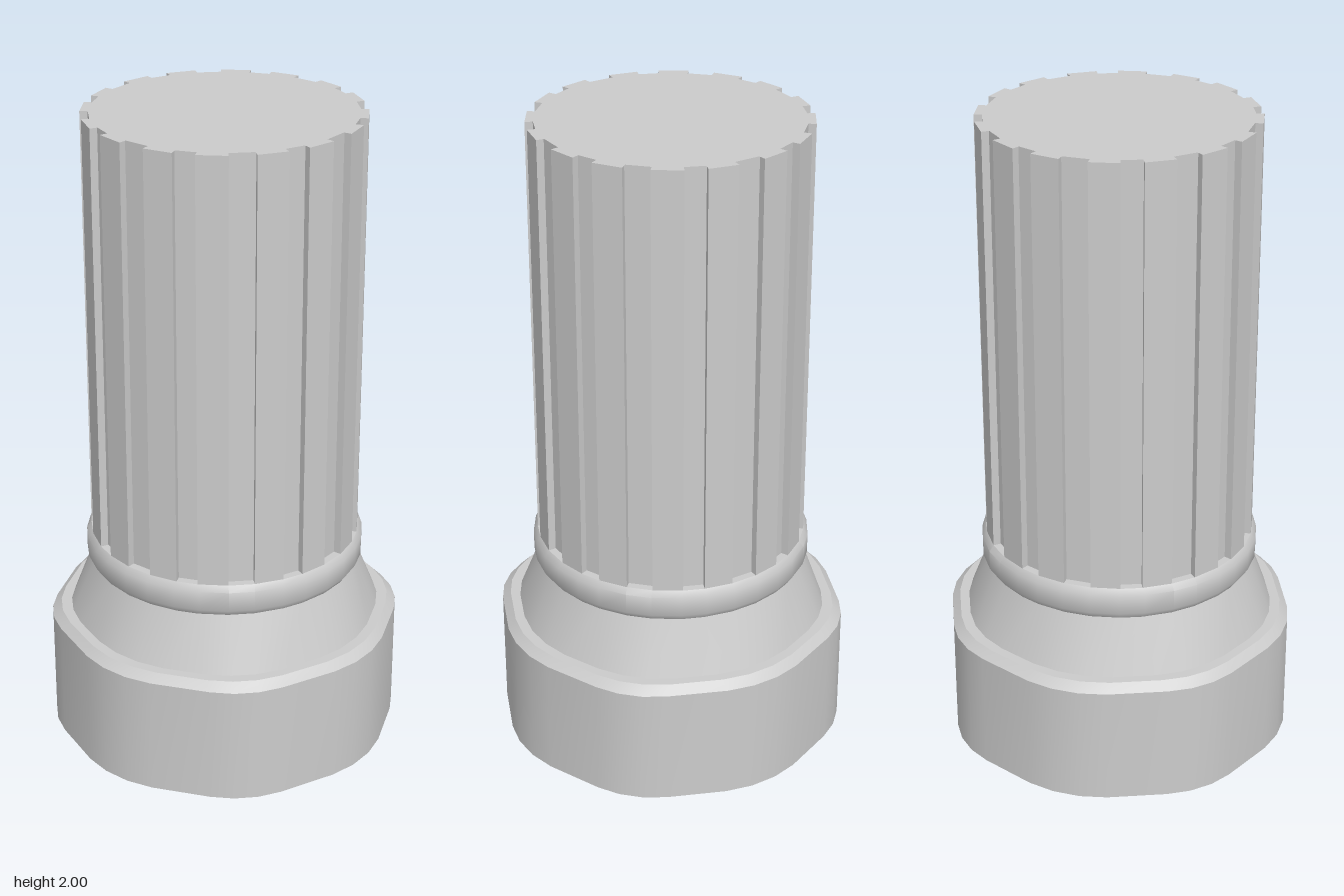
import * as THREE from 'three';
import { toCreasedNormals } from 'three/addons/utils/BufferGeometryUtils.js';

// One quarter of each outline, as pairs of corners per flute: angle in degrees, radius
const SHAFT_ANGLES = [-5.75, 5.75, 18, 27, 39.6, 50.4, 63, 72];
const BASE_ANGLES = [-4.5, 4.5, 13.5, 33.3, 41.1, 48.9, 56.7, 76.5];
const BASE_RADII = [0.543, 0.543, 0.537, 0.539, 0.547, 0.547, 0.539, 0.537];
const SHAFT_R = 0.417, BASE_R = 0.543, FLUTE_DEPTH = 0.024;

const polar = (deg, r) => {
  const a = THREE.MathUtils.degToRad(deg);
  return new THREE.Vector2(Math.sin(a) * r, Math.cos(a) * r);
};

// Horizontal section: blends the round shaft outline into the soft octagon of the base
function section(y, radius, depth = 0) {
  const t = (radius - SHAFT_R) / (BASE_R - SHAFT_R);
  const corners = [];
  for (let i = 0; i < 32; i++) {
    const k = i % 8, turn = Math.floor(i / 8) * 90;
    corners.push(polar(SHAFT_ANGLES[k] + turn, SHAFT_R).lerp(polar(BASE_ANGLES[k] + turn, BASE_RADII[k]), t));
  }
  const ring = [];
  for (let i = 0; i < 32; i += 2) {
    const a = corners[i], b = corners[i + 1];
    const inward = a.clone().add(b).normalize().multiplyScalar(-depth);
    ring.push(a, a.clone().add(inward), b.clone().add(inward), b);
  }
  return ring.map((p) => new THREE.Vector3(p.x, y, p.y));
}

// Skin a stack of sections, leaving out collapsed triangles
function loft(rings, capped = false) {
  const pos = [];
  const tri = (a, b, c) => {
    if (new THREE.Triangle(a, b, c).getArea() > 1e-7) pos.push(...a, ...b, ...c);
  };
  const n = rings[0].length;
  for (let j = 0; j + 1 < rings.length; j++) {
    for (let i = 0; i < n; i++) {
      const k = (i + 1) % n, lo = rings[j], hi = rings[j + 1];
      tri(lo[i], lo[k], hi[k]);
      tri(lo[i], hi[k], hi[i]);
    }
  }
  if (capped) {
    const top = rings[rings.length - 1];
    const centre = new THREE.Vector3(0, top[0].y, 0);
    for (let i = 0; i < n; i++) tri(top[i], top[(i + 1) % n], centre);
  }
  const geo = new THREE.BufferGeometry();
  geo.setAttribute('position', new THREE.Float32BufferAttribute(pos, 3));
  return toCreasedNormals(geo, 0.7);
}

export function createModel() {
  const group = new THREE.Group();
  group.name = 'flutedColumn';
  const material = new THREE.MeshStandardMaterial({ color: 0xcccccc, side: THREE.DoubleSide });
  const add = (name, rings, capped) => {
    const mesh = new THREE.Mesh(loft(rings, capped), material);
    mesh.name = name;
    group.add(mesh);
  };

  // Plinth, open underneath, with a bevelled rim and a flat ledge
  add('plinth', [section(0, 0.543), section(0.375, 0.543), section(0.4, 0.516), section(0.4, 0.484)]);

  // Flared foot and the rounded collar above it
  add('flaredFoot', [section(0.4, 0.484), section(0.57, SHAFT_R)]);
  add('collar', [section(0.57, SHAFT_R), section(0.59, 0.431), section(0.652, 0.431), section(0.67, SHAFT_R)]);

  // Shaft: a shelf at the foot of each flute, straight flutes, closed top
  add('flutedShaft', [section(0.67, SHAFT_R), section(0.67, SHAFT_R, FLUTE_DEPTH), section(2, SHAFT_R, FLUTE_DEPTH)], true);

  return group;
}
